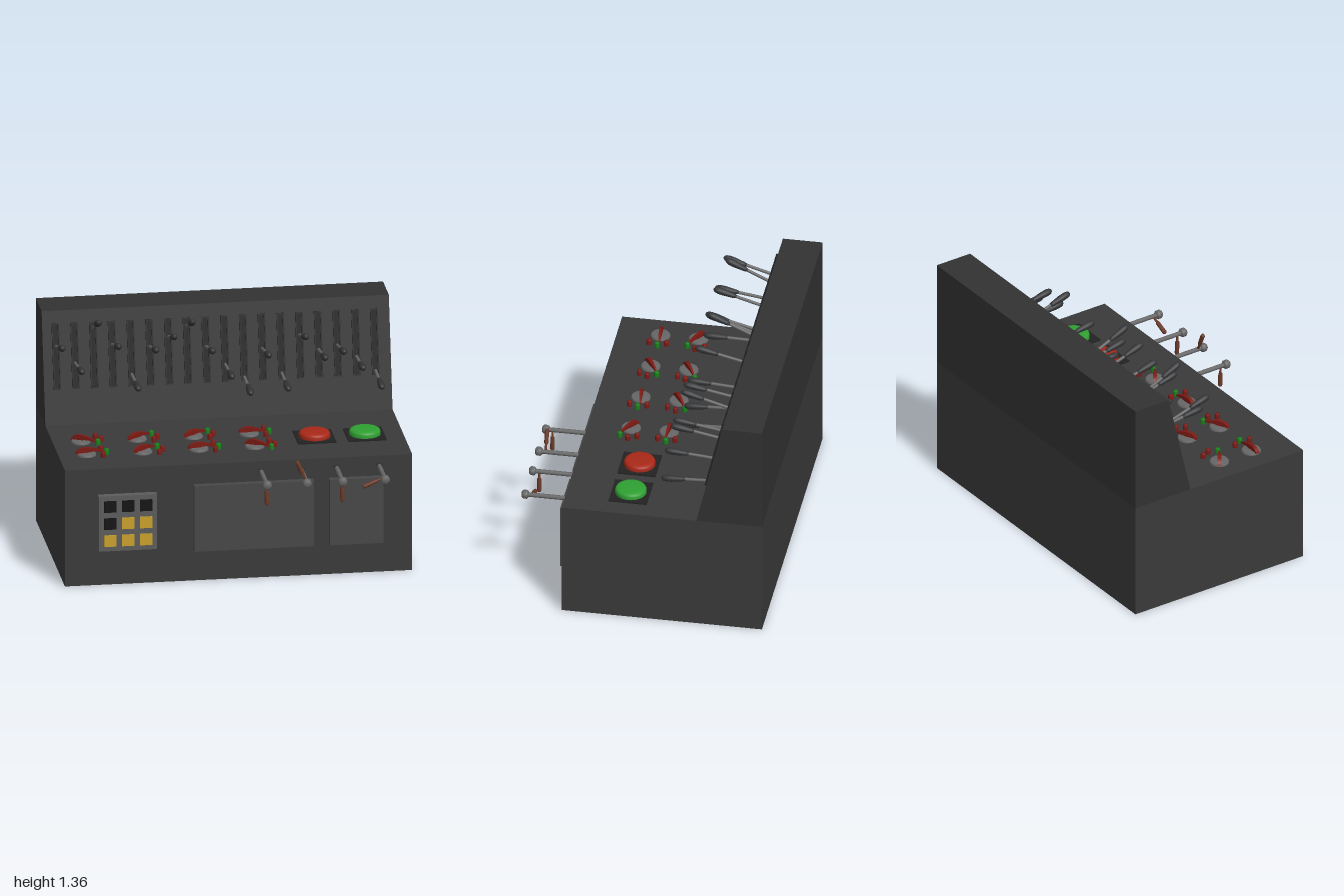
import * as THREE from 'three';

const mat = (color) => new THREE.MeshStandardMaterial({ color });
const M = {
  body: mat(0x3a3a3a), upper: mat(0x323232), slot: mat(0x222222), black: mat(0x141414),
  metal: mat(0x666666), grip: mat(0x333436), panel: mat(0x484848), frame: mat(0x5c5c5c),
  red: mat(0xa82818), pointer: mat(0x7c1a14), green: mat(0x2fa032), lampGreen: mat(0x168016),
  yellow: mat(0xc9a02c), brown: mat(0x6a3a28),
};

function add(parent, name, geometry, material, x = 0, y = 0, z = 0) {
  const mesh = new THREE.Mesh(geometry, material);
  mesh.name = name;
  mesh.position.set(x, y, z);
  parent.add(mesh);
  return mesh;
}
function group(parent, name, x, y, z) {
  const g = new THREE.Group();
  g.name = name;
  g.position.set(x, y, z);
  parent.add(g);
  return g;
}
const box = (w, h, d) => new THREE.BoxGeometry(w, h, d);
const lathe = (pts, n = 16) => new THREE.LatheGeometry(pts.map(([r, y]) => new THREE.Vector2(r, y)), n);
const rect = (Type, w, h) => new Type([[-w, -h], [w, -h], [w, h], [-w, h]].map(([x, y]) => new THREE.Vector2(x / 2, y / 2)));
const extrude = (shape, depth) => new THREE.ExtrudeGeometry(shape, { depth, bevelEnabled: false });

// Desk and the sloping back console
function addCabinet(root) {
  add(root, 'desk', box(2, 0.7, 1.16), M.body, 0, 0.35, -0.13);
  const side = new THREE.Shape([[0.33, 0.7], [0.71, 0.7], [0.71, 1.34], [0.48, 1.34]].map(([x, y]) => new THREE.Vector2(x, y)));
  add(root, 'backConsole', extrude(side, 2).rotateY(Math.PI / 2), M.upper, -1, 0, 0);
}

// Row of slotted levers, each swinging about a pivot behind the slope
function addLevers(root) {
  const tips = [1.225, 1.085, 1.355, 1.22, 0.97, 1.19, 1.26, 1.335, 1.17,
    1.015, 0.91, 1.13, 0.925, 1.225, 1.10, 1.13, 1.03, 0.91];
  const rim = rect(THREE.Shape, 0.042, 0.38);
  rim.holes.push(rect(THREE.Path, 0.028, 0.364));
  const rimGeo = extrude(rim, 0.012);
  const floorGeo = box(0.03, 0.366, 0.006);
  const rodGeo = new THREE.CylinderGeometry(0.009, 0.009, 0.24, 10).rotateX(Math.PI / 2);
  const gripGeo = lathe([[0, 0], [0.01, 0.002], [0.014, 0.02], [0.02, 0.08], [0.02, 0.11],
    [0.016, 0.128], [0.009, 0.137], [0, 0.14]], 14).rotateX(Math.PI / 2);
  const R = 0.95;
  tips.forEach((y, i) => {
    const x = -0.925 + i * 0.1079;
    const slot = group(root, 'leverSlot', x, 1.083, -0.42);
    slot.rotation.x = -Math.atan2(0.15, 0.64);
    add(slot, 'slotRim', rimGeo, M.slot);
    add(slot, 'slotFloor', floorGeo, M.black);
    const lever = group(root, 'lever', x, 0.95, -1.06);
    lever.rotation.x = -Math.asin((y - 0.95) / R);
    add(lever, 'leverRod', rodGeo, M.metal, 0, 0, 0.72);
    add(lever, 'leverGrip', gripGeo, M.grip, 0, 0, R - 0.14);
  });
}

// Rotary selectors, each with three lamps; the lamp pointed at is green
function addSelectors(root) {
  const discGeo = lathe([[0.056, 0], [0.056, 0.008], [0.05, 0.016], [0, 0.016]], 24);
  const arch = new THREE.Shape();
  arch.moveTo(-0.062, 0.012);
  arch.quadraticCurveTo(-0.05, 0.042, -0.01, 0.046);
  arch.quadraticCurveTo(0.04, 0.046, 0.088, 0.022);
  arch.lineTo(0.088, 0.014);
  arch.quadraticCurveTo(0.03, 0.026, 0, 0.012);
  arch.closePath();
  const archGeo = extrude(arch, 0.026).translate(0, 0, -0.013);
  // narrow the pointer towards its tip
  const p = archGeo.attributes.position;
  for (let i = 0; i < p.count; i++) p.setZ(i, p.getZ(i) * (1 - 0.65 * (p.getX(i) + 0.062) / 0.15));
  archGeo.computeVertexNormals();
  const lampGeo = lathe([[0.015, 0], [0.015, 0.026], [0.011, 0.032], [0, 0.034]], 12);
  const lamps = [[0.09, -0.05], [0.115, 0], [0.09, 0.05]];
  const rows = [
    { z: -0.02, turn: [[-32, 2], [30, 0], [30, 0], [-5, 1]] },
    { z: 0.2, turn: [[5, 1], [32, 0], [7, 1], [-32, 2]] },
  ];
  for (const { z, turn } of rows) {
    turn.forEach(([deg, lit], i) => {
      const g = group(root, 'selector', -0.84 + i * 0.323, 0.7, z);
      add(g, 'selectorDisc', discGeo, M.metal);
      add(g, 'selectorPointer', archGeo, M.pointer).rotation.y = THREE.MathUtils.degToRad(deg);
      lamps.forEach(([lx, lz], k) => add(g, 'lamp', lampGeo, k === lit ? M.lampGreen : M.pointer, lx, 0, lz));
    });
  }
}

// Large push buttons on square plates
function addButtons(root) {
  const buttonGeo = lathe([[0.09, 0], [0.09, 0.018], [0.086, 0.028], [0.077, 0.034], [0.06, 0.037], [0, 0.038]], 32);
  for (const [x, material] of [[0.49, M.red], [0.78, M.green]]) {
    const g = group(root, 'pushButton', x, 0.7, 0.087);
    add(g, 'buttonPlate', box(0.22, 0.008, 0.22), M.slot, 0, 0.004, 0);
    add(g, 'buttonCap', buttonGeo, material, 0, 0.006, 0);
  }
}

// Keypad and door panels on the front
function addFrontPanels(root) {
  add(root, 'keypadFrame', box(0.336, 0.332, 0.04), M.frame, -0.643, 0.38, 0.47);
  for (let r = 0; r < 3; r++) {
    for (let c = 0; c < 3; c++) {
      const dark = r === 0 || (r === 1 && c === 0);
      add(root, 'key', box(0.07, 0.068, 0.02), dark ? M.black : M.yellow, -0.745 + c * 0.103, 0.483 - r * 0.103, 0.488);
    }
  }
  add(root, 'widePanel', box(0.69, 0.395, 0.04), M.panel, 0.085, 0.383, 0.468);
  add(root, 'narrowPanel', box(0.31, 0.395, 0.04), M.panel, 0.675, 0.383, 0.468);
}

// Front shafts with a knob end and a turning handle
function addCranks(root) {
  const shaftGeo = new THREE.CylinderGeometry(0.013, 0.013, 0.25, 12).rotateX(Math.PI / 2);
  const collarGeo = new THREE.CylinderGeometry(0.02, 0.02, 0.012, 12).rotateX(Math.PI / 2);
  const knobGeo = lathe([[0, -0.02], [0.017, -0.02], [0.026, -0.01], [0.026, 0.01], [0.017, 0.02], [0, 0.02]], 14).rotateX(Math.PI / 2);
  const handleGeo = lathe([[0, 0], [0.007, 0], [0.007, 0.045], [0.012, 0.05], [0.013, 0.125], [0.009, 0.133], [0, 0.134]], 12);
  for (const [x, deg] of [[0.13, 182], [0.36, 24], [0.565, 182], [0.81, 113]]) {
    const g = group(root, 'crank', x, 0.64, 0);
    add(g, 'crankShaft', shaftGeo, M.metal, 0, 0, 0.565);
    add(g, 'crankCollar', collarGeo, M.grip, 0, 0, 0.455);
    add(g, 'crankKnob', knobGeo, M.metal, 0, 0, 0.693);
    add(g, 'crankHandle', handleGeo, M.brown, 0, 0, 0.655).rotation.z = THREE.MathUtils.degToRad(deg);
  }
}

export function createModel() {
  const root = new THREE.Group();
  root.name = 'controlDesk';
  addCabinet(root);
  addLevers(root);
  addSelectors(root);
  addButtons(root);
  addFrontPanels(root);
  addCranks(root);
  return root;
}
